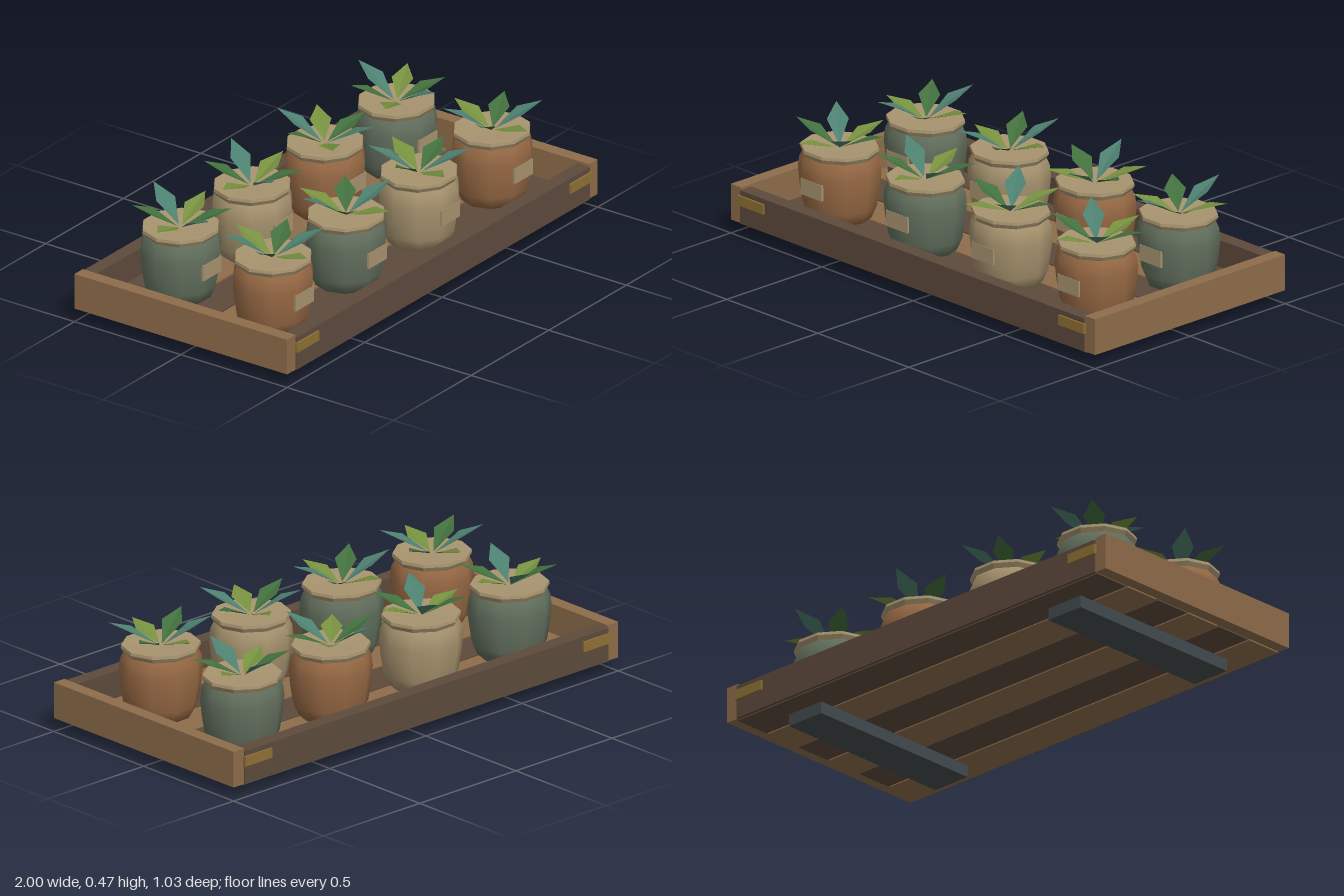
import * as THREE from 'three';

const mat = (name, color, extra = {}) => {
  const m = new THREE.MeshStandardMaterial({ color, ...extra });
  m.name = name;
  return m;
};

export function createModel() {
  const lightWood = mat('light wood', 0x8e6c4a);
  const darkWood = mat('dark wood', 0x5d4a3c);
  const slate = mat('slate', 0x434b4e);
  const brass = mat('brass', 0x8f7034);
  const terracotta = mat('terracotta', 0x986a45);
  const sage = mat('sage', 0x64715f);
  const sand = mat('sand', 0xa8946f);
  const leafMats = [
    mat('olive leaf', 0x76913f, { side: THREE.DoubleSide }),
    mat('teal leaf', 0x4d8070, { side: THREE.DoubleSide }),
    mat('green leaf', 0x42703d, { side: THREE.DoubleSide }),
  ];

  const model = new THREE.Group();
  const add = (parent, name, geo, material) => {
    const mesh = new THREE.Mesh(geo, material);
    mesh.name = name;
    parent.add(mesh);
    return mesh;
  };
  // Box given by its min and max on each axis
  const box = (parent, name, material, [x0, x1], [y0, y1], [z0, z1]) =>
    add(parent, name, new THREE.BoxGeometry(x1 - x0, y1 - y0, z1 - z0), material)
      .position.set((x0 + x1) / 2, (y0 + y1) / 2, (z0 + z1) / 2);

  // Tray: slats, side rails, end boards, feet and corner plates
  const tray = new THREE.Group();
  tray.name = 'tray';
  model.add(tray);
  const pitch = 0.166;
  for (let i = 0; i < 6; i++) {
    const z = (i - 2.5) * pitch;
    box(tray, 'floorSlat', i % 2 ? lightWood : darkWood,
      [-0.95, 0.95], [0.049, 0.08], [z - pitch / 2 + 0.004, z + pitch / 2 - 0.004]);
  }
  for (const s of [-1, 1]) {
    const span = (a, b) => (s > 0 ? [a, b] : [-b, -a]);
    box(tray, 'sideRail', darkWood, [-0.945, 0.945], [0.055, 0.19], span(0.445, 0.505));
    box(tray, 'endBoard', lightWood, span(0.945, 1), [0.055, 0.2], [-0.5, 0.5]);
    box(tray, 'foot', slate, span(0.6, 0.77), [0, 0.05], [-0.4, 0.4]);
    for (const t of [-1, 1]) {
      box(tray, 'cornerPlate', brass, t > 0 ? [0.81, 0.95] : [-0.95, -0.81],
        [0.13, 0.17], span(0.5, 0.513));
    }
  }

  // Ten-sided pot body and its flared collar with a shallow top
  const lathe = (pts) => new THREE.LatheGeometry(
    pts.map(([r, y]) => new THREE.Vector2(r, y)), 10, Math.PI / 2).scale(1, 1, 0.95);
  const bodyGeo = lathe([[0, 0.08], [0.125, 0.08], [0.147, 0.13], [0.158, 0.2],
    [0.165, 0.265], [0.16, 0.31], [0.146, 0.338]]);
  const collarGeo = lathe([[0.146, 0.334], [0.157, 0.353], [0.155, 0.365],
    [0.13, 0.364], [0, 0.357]]).toNonIndexed();
  collarGeo.computeVertexNormals();

  // Diamond leaf, folded along its midrib, growing along +x
  const leafGeo = (len, tipY) => {
    const g = new THREE.BufferGeometry();
    const base = [0.012, 0.36, 0], tip = [len, tipY, 0];
    const midY = 0.36 + (tipY - 0.36) * 0.6;
    const rib = [len * 0.55, midY - 0.004, 0];
    const l = [len * 0.55, midY + 0.006, -0.042], r = [len * 0.55, midY + 0.006, 0.042];
    g.setAttribute('position', new THREE.Float32BufferAttribute(
      [base, rib, l, rib, tip, l, base, r, rib, rib, r, tip].flat(), 3));
    g.computeVertexNormals();
    return g;
  };
  const leaves = [[0.2, 0.425], [0.195, 0.47], [0.185, 0.45],
    [0.19, 0.41], [0.2, 0.455], [0.195, 0.43]].map(([l, y]) => leafGeo(l, y));

  // Pots: x, z, body colour, turn of the leaves in degrees
  const pots = [
    [-0.7, 0.215, terracotta, 80], [-0.23, 0.215, sage, 98],
    [0.24, 0.215, sand, 67], [0.71, 0.215, terracotta, 82],
    [-0.69, -0.227, sage, 8], [-0.23, -0.227, sand, 0],
    [0.24, -0.227, terracotta, 45], [0.7, -0.227, sage, 24],
  ];
  for (const [x, z, material, turn] of pots) {
    const pot = new THREE.Group();
    pot.name = 'pottedPlant';
    pot.position.set(x, 0, z);
    model.add(pot);
    add(pot, 'potBody', bodyGeo, material);
    add(pot, 'potCollar', collarGeo, sand);
    box(pot, 'potLabel', sand, [-0.058, 0.058], [0.19, 0.255], [0.141, 0.15]);
    leaves.forEach((geo, i) => {
      add(pot, 'leaf', geo, leafMats[i % 3]).rotation.y =
        THREE.MathUtils.degToRad(turn + i * 60);
    });
  }
  return model;
}
